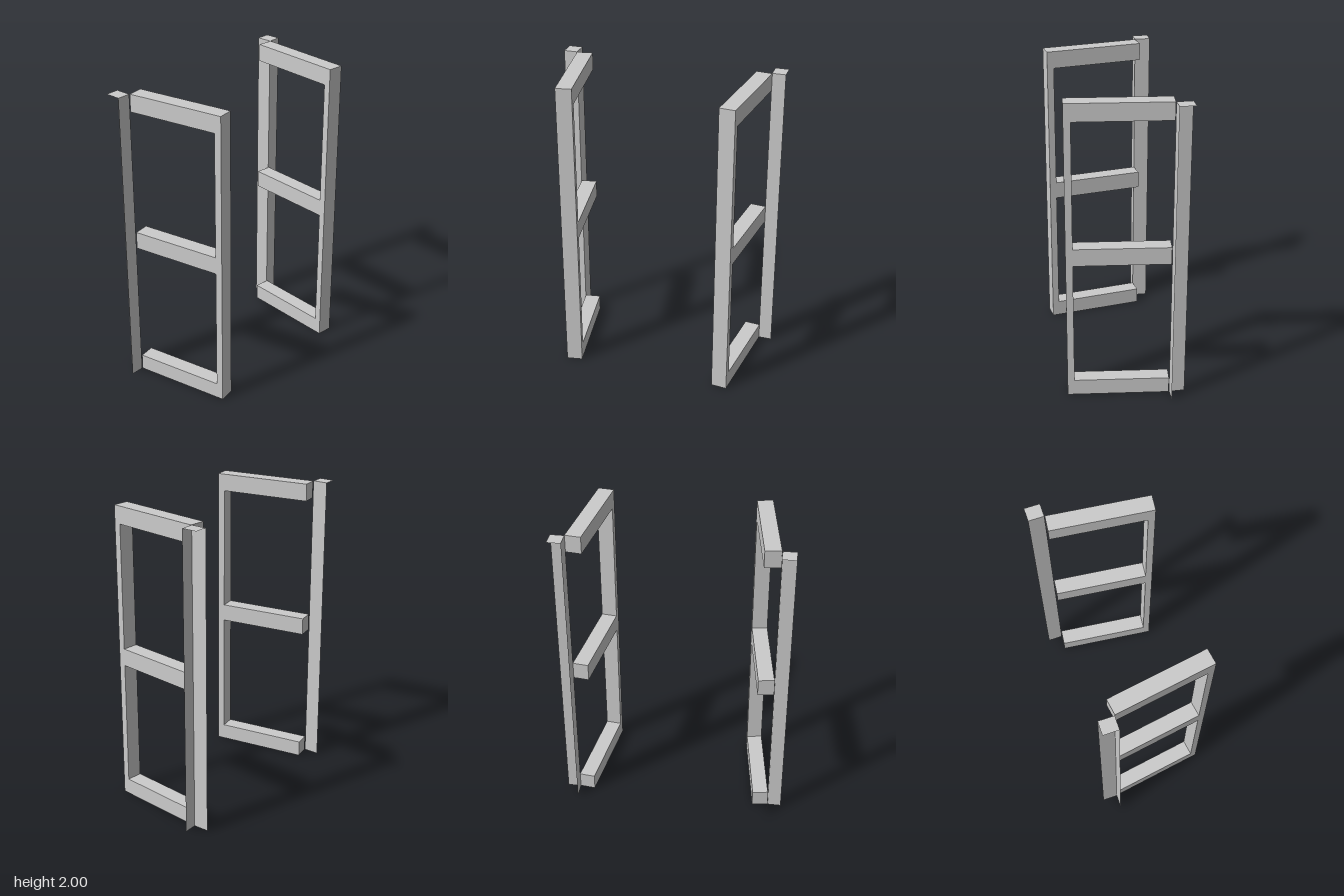
import * as THREE from 'three';

const material = new THREE.MeshStandardMaterial({ color: 0xcccccc, flatShading: true, side: THREE.DoubleSide });

const HEIGHT = 2;

// Three-rail frame: one stile on the far end, rails open towards the post
function frame(name, length, x, z, angle) {
  const inner = length - 0.045;
  const outline = [
    [0, 0], [length, 0], [length, HEIGHT], [0, HEIGHT],
    [0, 1.885], [inner, 1.885], [inner, 1.055], [0, 1.055],
    [0, 0.94], [inner, 0.94], [inner, 0.107], [0, 0.107],
  ];
  const shape = new THREE.Shape(outline.map(([px, py]) => new THREE.Vector2(px, py)));
  const geometry = new THREE.ExtrudeGeometry(shape, { depth: 0.104, bevelEnabled: false });
  const mesh = new THREE.Mesh(geometry, material);
  mesh.name = name;
  mesh.position.set(x, 0, z);
  mesh.rotation.y = angle;
  return mesh;
}

// Hinge post: an open angle of two thin walls with a top plate
function post(name, side) {
  const x0 = -0.38, x1 = -0.278, zIn = 0.658, zOut = 0.747;
  const width = x1 - x0, depth = zOut - zIn;
  const xMid = (x0 + x1) / 2, zMid = side * (zIn + zOut) / 2;
  const group = new THREE.Group();
  group.name = name;
  const add = (part, w, h, px, py, pz, rx, ry) => {
    const mesh = new THREE.Mesh(new THREE.PlaneGeometry(w, h), material);
    mesh.name = part;
    mesh.position.set(px, py, pz);
    mesh.rotation.set(rx, ry, 0);
    group.add(mesh);
  };
  add('innerWall', width, HEIGHT, xMid, HEIGHT / 2, side * zIn, 0, side > 0 ? Math.PI : 0);
  add('sideWall', depth, HEIGHT, x1, HEIGHT / 2, zMid, 0, Math.PI / 2);
  add('topPlate', width, depth, xMid, HEIGHT, zMid, -Math.PI / 2, 0);
  return group;
}

export function createModel() {
  const model = new THREE.Group();
  model.name = 'doubleDoorFrame';
  // The two leaves stand at slightly different angles
  model.add(
    frame('frontFrame', 0.653, -0.292, 0.552, 0.158),
    frame('backFrame', 0.659, -0.275, -0.66, -0.114),
    post('frontPost', 1),
    post('backPost', -1),
  );
  return model;
}
